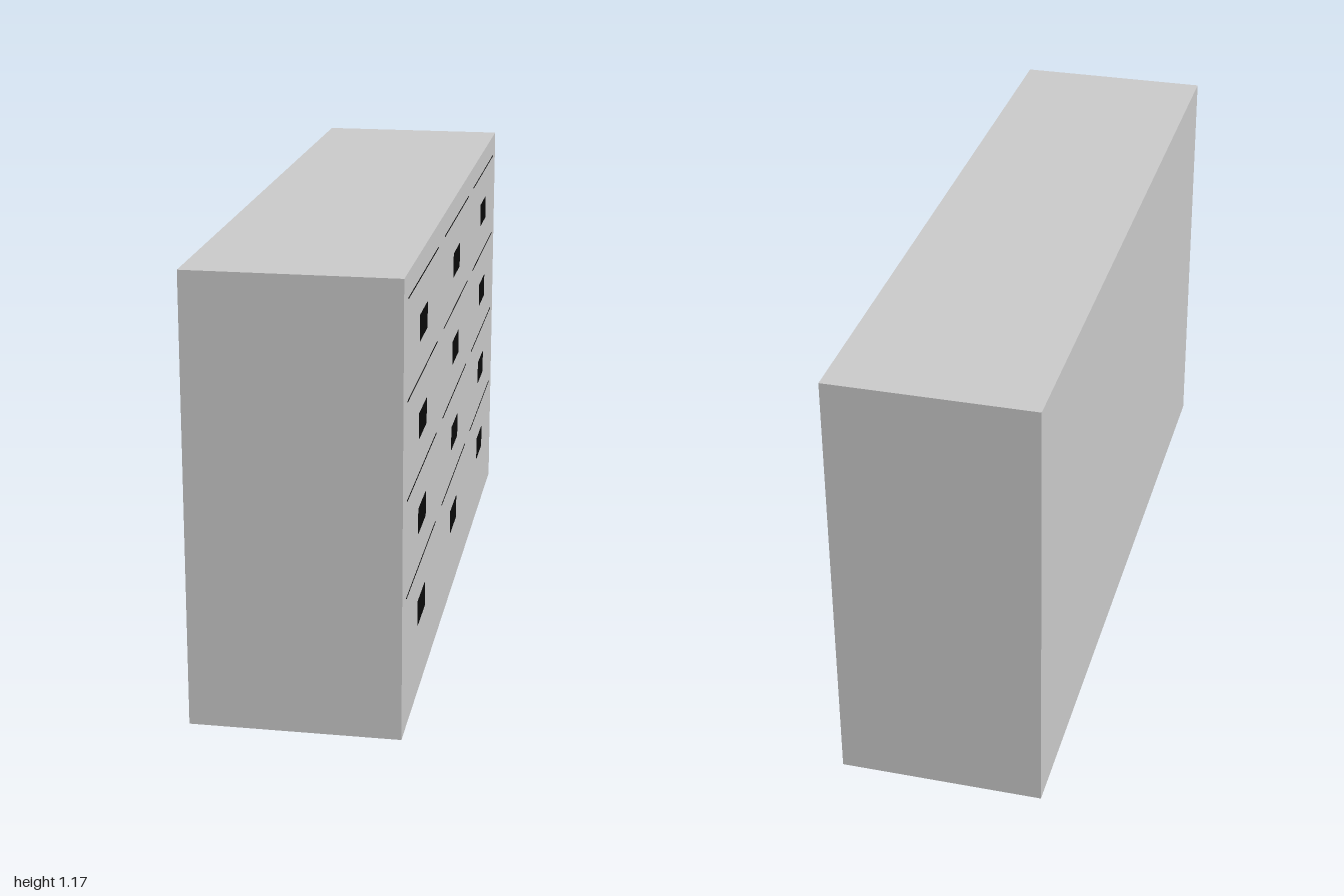
import * as THREE from 'three';

export function createModel() {
  const group = new THREE.Group();
  const grey = new THREE.MeshStandardMaterial({ color: 0xcccccc });
  const black = new THREE.MeshStandardMaterial({ color: 0x0a0a0a });
  const W = 0.537, H = 1.168, L = 2;

  function box(name, material, w, h, d, x, y, z) {
    const mesh = new THREE.Mesh(new THREE.BoxGeometry(w, h, d), material);
    mesh.name = name;
    mesh.position.set(x, y, z);
    group.add(mesh);
  }

  // Solid cabinet
  box('cabinet', grey, W, H, L, 0, H / 2, 0);

  // Drawer faces on the +x side: three columns of four, each with a pull and a gap line
  const columnStep = L / 3, rowStep = 0.252;
  for (let column = -1; column <= 1; column++) {
    for (let row = 0; row < 4; row++) {
      const y = 0.223 + row * rowStep, z = column * columnStep;
      box('drawerPull', black, 0.002, 0.067, 0.134, W / 2, y, z);
      box('drawerGap', black, 0.002, 0.003, 0.535, W / 2, y + 0.126, z);
    }
  }
  return group;
}
